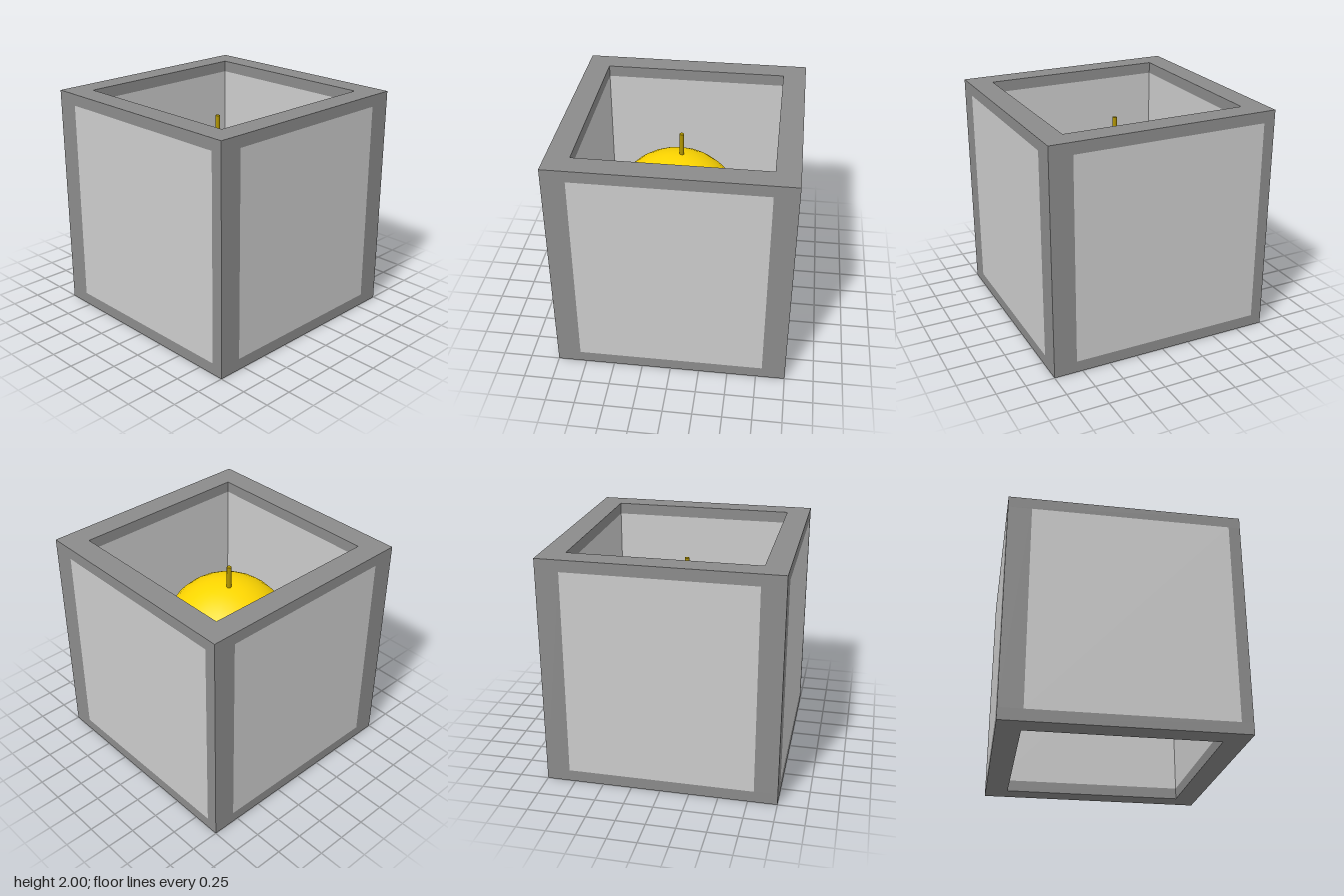
import * as THREE from 'three';

const HEIGHT = 2, THICK = 0.2, RAIL = 0.1;

const frameMat = new THREE.MeshStandardMaterial({ color: 0x8b8b8b });
const panelMat = new THREE.MeshStandardMaterial({ color: 0xcccccc });
const goldMat = new THREE.MeshStandardMaterial({ color: 0xffd700 });
const stemMat = new THREE.MeshStandardMaterial({ color: 0xb09400 });

// Box given by its minimum and maximum corners
function block(name, mat, [x0, y0, z0], [x1, y1, z1]) {
  const mesh = new THREE.Mesh(new THREE.BoxGeometry(x1 - x0, y1 - y0, z1 - z0), mat);
  mesh.position.set((x0 + x1) / 2, (y0 + y1) / 2, (z0 + z1) / 2);
  mesh.name = name;
  return mesh;
}

// Wall along x with its outer face at z = 1: two rails, two stiles and a flush panel
function makeWall(name, halfWidth, panelLeft, panelRight) {
  const wall = new THREE.Group();
  wall.name = name;
  const zIn = 1 - THICK, top = HEIGHT - RAIL;
  wall.add(
    block('bottomRail', frameMat, [-halfWidth, 0, zIn], [halfWidth, RAIL, 1]),
    block('topRail', frameMat, [-halfWidth, top, zIn], [halfWidth, HEIGHT, 1]),
    block('panel', panelMat, [panelLeft, RAIL, zIn], [panelRight, top, 1])
  );
  if (panelLeft > -halfWidth)
    wall.add(block('leftStile', frameMat, [-halfWidth, RAIL, zIn], [panelLeft, top, 1]));
  if (panelRight < halfWidth)
    wall.add(block('rightStile', frameMat, [panelRight, RAIL, zIn], [halfWidth, top, 1]));
  return wall;
}

export function createModel() {
  const model = new THREE.Group();
  model.name = 'boxWithBall';

  // Long front and back walls, with short side walls between them
  const inner = 1 - THICK;
  for (const [name, turn] of [['front', 0], ['back', Math.PI]]) {
    const wall = makeWall(name + 'Wall', 1, -inner, 0.9);
    wall.rotation.y = turn;
    model.add(wall);
  }
  for (const [name, turn] of [['left', Math.PI / 2], ['right', -Math.PI / 2]]) {
    const wall = makeWall(name + 'Wall', inner, -inner, inner);
    wall.rotation.y = turn;
    model.add(wall);
  }

  // Golden ball hanging inside
  const ball = new THREE.Mesh(new THREE.SphereGeometry(0.6, 20, 20), goldMat);
  ball.name = 'ball';
  ball.position.set(0.02, 0.98, 0.07);
  model.add(ball);

  // Thin stem on top of the ball
  const stem = new THREE.Mesh(new THREE.CylinderGeometry(0.02, 0.02, 0.25, 16), stemMat);
  stem.name = 'stem';
  stem.position.set(-0.045, 1.65, 0.03);
  model.add(stem);

  return model;
}
